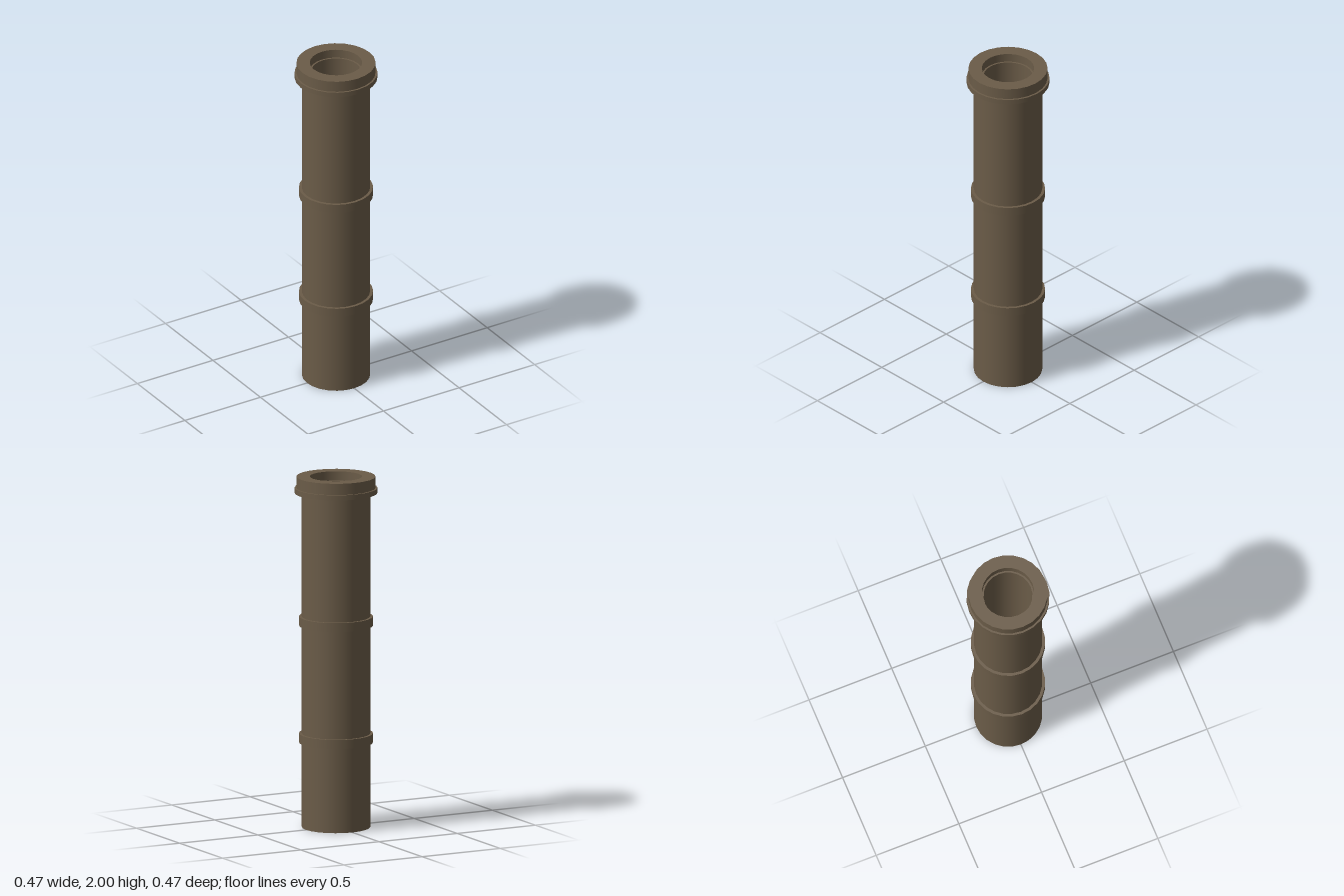
import * as THREE from 'three';
import { mergeGeometries } from 'three/addons/utils/BufferGeometryUtils.js';

const SIDES = 24;

// Hollow ring with smooth round walls and crisp rims
function hollowRing(outer, inner, y0, y1) {
  const profile = [[outer, y0], [outer, y1], [inner, y1], [inner, y0]]
    .map(([r, y]) => new THREE.Vector2(r, y));
  const faces = profile.map((p, i) => new THREE.LatheGeometry([p, profile[(i + 1) % 4]], SIDES));
  return mergeGeometries(faces);
}

export function createModel() {
  const group = new THREE.Group();
  group.name = 'pipe';
  const brown = new THREE.MeshStandardMaterial({ color: 0x6b5c48 });
  brown.name = 'weathered brown';

  // name, outer radius, inner radius, bottom, top
  const parts = [
    ['tube', 0.192, 0.137, 0, 1.95],
    ['lowerBand', 0.208, 0.131, 0.483, 0.535],
    ['upperBand', 0.208, 0.131, 1.15, 1.202],
    ['collar', 0.233, 0.137, 1.907, 1.936],
    ['rim', 0.222, 0.147, 1.936, 2],
  ];
  for (const [name, ...size] of parts) {
    const mesh = new THREE.Mesh(hollowRing(...size), brown);
    mesh.name = name;
    group.add(mesh);
  }
  return group;
}
